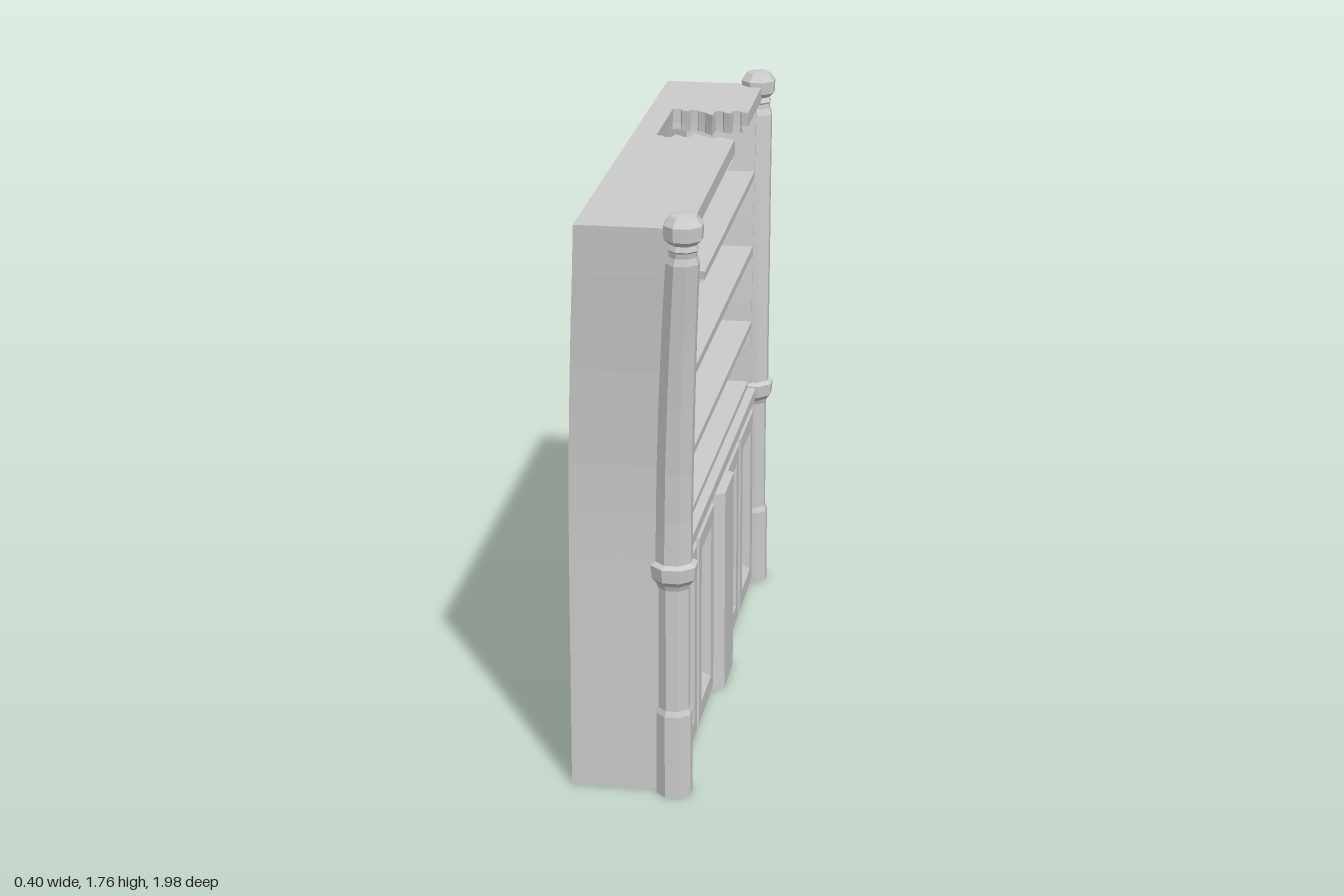
import * as THREE from 'three';

const mat = new THREE.MeshStandardMaterial({ color: 0xcccccc, flatShading: true, side: THREE.DoubleSide });
const BACK = -0.205, INNER = -0.13, FRONT = 0.1, TOP = 1.72;

// The upper half flares outwards, and its +z end leans forward
function warp(geo) {
  const p = geo.attributes.position;
  for (let i = 0; i < p.count; i++) {
    const x = p.getX(i), y = p.getY(i), z = p.getZ(i);
    const t = Math.pow(Math.min(1, Math.max(0, (y - 0.75) / 0.93)), 1.7);
    p.setXYZ(i, x + 0.02 * t * (z / 0.85 + 1), y, z * (1 + 0.1 * t));
  }
  geo.computeVertexNormals();
  return geo;
}

function box(x0, x1, y0, y1, z0, z1, ySegs = 1) {
  return new THREE.BoxGeometry(x1 - x0, y1 - y0, z1 - z0, 1, ySegs, 1)
    .translate((x0 + x1) / 2, (y0 + y1) / 2, (z0 + z1) / 2);
}

// Splintered edge: pairs of points from x0 to x1 around z, growing along dir
const TEETH = [0.02, 0, 0.035, 0.01, 0.065, 0.03, 0.005, 0.025, 0];
function splinters(x0, x1, z, dir) {
  const pts = [];
  TEETH.forEach((d, i) => {
    const at = (f) => x0 + (x1 - x0) * (i + f) / TEETH.length;
    pts.push([at(0), z + dir * d], [at(0.85), z + dir * d * 0.6]);
  });
  pts.push([x1, z]);
  return pts;
}

// Horizontal board with a bevel under its front edge; ends may be broken
function board(top, thick, xf, z0, z1, broken0 = false, broken1 = false) {
  const low = broken0 ? splinters(INNER, xf, z0, -1) : [[INNER, z0], [xf, z0]];
  const high = broken1 ? splinters(xf, INNER, z1, 1) : [[xf, z1], [INNER, z1]];
  const shape = new THREE.Shape([...low, ...high].map(([x, z]) => new THREE.Vector2(x, z)));
  const geo = new THREE.ExtrudeGeometry(shape, { depth: thick, steps: 3, bevelEnabled: false });
  geo.rotateX(Math.PI / 2).translate(0, top, 0);
  const p = geo.attributes.position;
  for (let i = 0; i < p.count; i++) {
    if (p.getX(i) > xf - 0.002 && p.getY(i) < top - thick + 0.001) p.setX(i, p.getX(i) - 0.015);
  }
  return geo;
}

// Door front built from nested rectangles [inset, x], closed in the middle
function doorPanel(z0, z1, y0, y1) {
  const rings = [[0, 0.08], [0, 0.09], [0.02, 0.11], [0.072, 0.11], [0.102, 0.085]];
  const pos = [], idx = [];
  for (const [d, x] of rings) {
    pos.push(x, y0 + d, z1 - d, x, y0 + d, z0 + d, x, y1 - d, z0 + d, x, y1 - d, z1 - d);
  }
  for (let r = 0; r < rings.length - 1; r++) {
    for (let k = 0; k < 4; k++) {
      const a = r * 4 + k, b = r * 4 + (k + 1) % 4;
      idx.push(a, b, b + 4, a, b + 4, a + 4);
    }
  }
  const c = (rings.length - 1) * 4;
  idx.push(c, c + 1, c + 2, c, c + 2, c + 3);
  const geo = new THREE.BufferGeometry();
  geo.setAttribute('position', new THREE.Float32BufferAttribute(pos, 3));
  geo.setIndex(idx);
  return geo;
}

export function createModel() {
  const group = new THREE.Group();
  const add = (name, geo) => {
    const mesh = new THREE.Mesh(warp(geo), mat);
    mesh.name = name;
    group.add(mesh);
  };

  // Carcass
  add('backPanel', box(BACK, INNER, 0, TOP, -0.79, 0.79, 12));
  for (const s of [-1, 1]) {
    add('sidePanel', box(BACK, FRONT, 0, TOP, Math.min(s * 0.79, s * 0.845), Math.max(s * 0.79, s * 0.845), 12));
  }
  add('cabinetBody', box(INNER, 0.085, 0, 0.66, -0.79, 0.79));
  add('cabinetTop', board(0.71, 0.05, 0.118, -0.79, 0.79));
  add('cabinetTopStep', box(INNER, 0.09, 0.71, 0.73, -0.79, 0.79));

  // Doors and central pilaster
  for (const z of [-0.625, -0.285, 0.285, 0.625]) {
    add('door', doorPanel(z - 0.17, z + 0.17, 0.005, 0.65));
  }
  const pilaster = new THREE.Shape([[0.08, -0.12], [0.105, -0.12], [0.14, -0.095], [0.14, 0.095], [0.105, 0.12], [0.08, 0.12]]
    .map(([x, z]) => new THREE.Vector2(x, z)));
  add('pilaster', new THREE.ExtrudeGeometry(pilaster, { depth: 0.655, bevelEnabled: false })
    .rotateX(Math.PI / 2).translate(0, 0.655, 0));

  // Shelves, the upper one and the top board broken
  add('shelf', board(0.94, 0.035, FRONT, -0.8, 0.8));
  add('shelf', board(1.195, 0.04, FRONT, -0.8, 0.8));
  add('brokenShelf', board(1.445, 0.037, FRONT, -0.8, 0.34, false, true));
  add('brokenShelf', board(1.445, 0.037, FRONT, 0.57, 0.8, true, false));
  add('brokenTop', board(TOP, 0.065, 0.115, -0.8, -0.47, false, true));
  add('brokenTop', board(TOP, 0.065, 0.115, -0.12, 0.8, true, false));

  // Octagonal posts with base, collar, curved shaft and knob
  const profile = [
    [0, 0], [0.054, 0], [0.054, 0.255], [0.047, 0.272], [0.047, 0.645], [0.053, 0.66],
    [0.066, 0.675], [0.07, 0.715], [0.055, 0.725], [0.054, 0.85], [0.054, 1.0], [0.053, 1.2],
    [0.051, 1.4], [0.049, 1.625], [0.041, 1.645], [0.041, 1.66], [0.045, 1.665], [0.038, 1.68],
    [0.056, 1.695], [0.058, 1.735], [0.038, 1.76], [0, 1.765],
  ].map(([r, y]) => new THREE.Vector2(r, y));
  for (const s of [-1, 1]) {
    add('post', new THREE.LatheGeometry(profile, 8, Math.PI / 8).translate(0.1, 0, s * 0.845));
  }
  return group;
}
